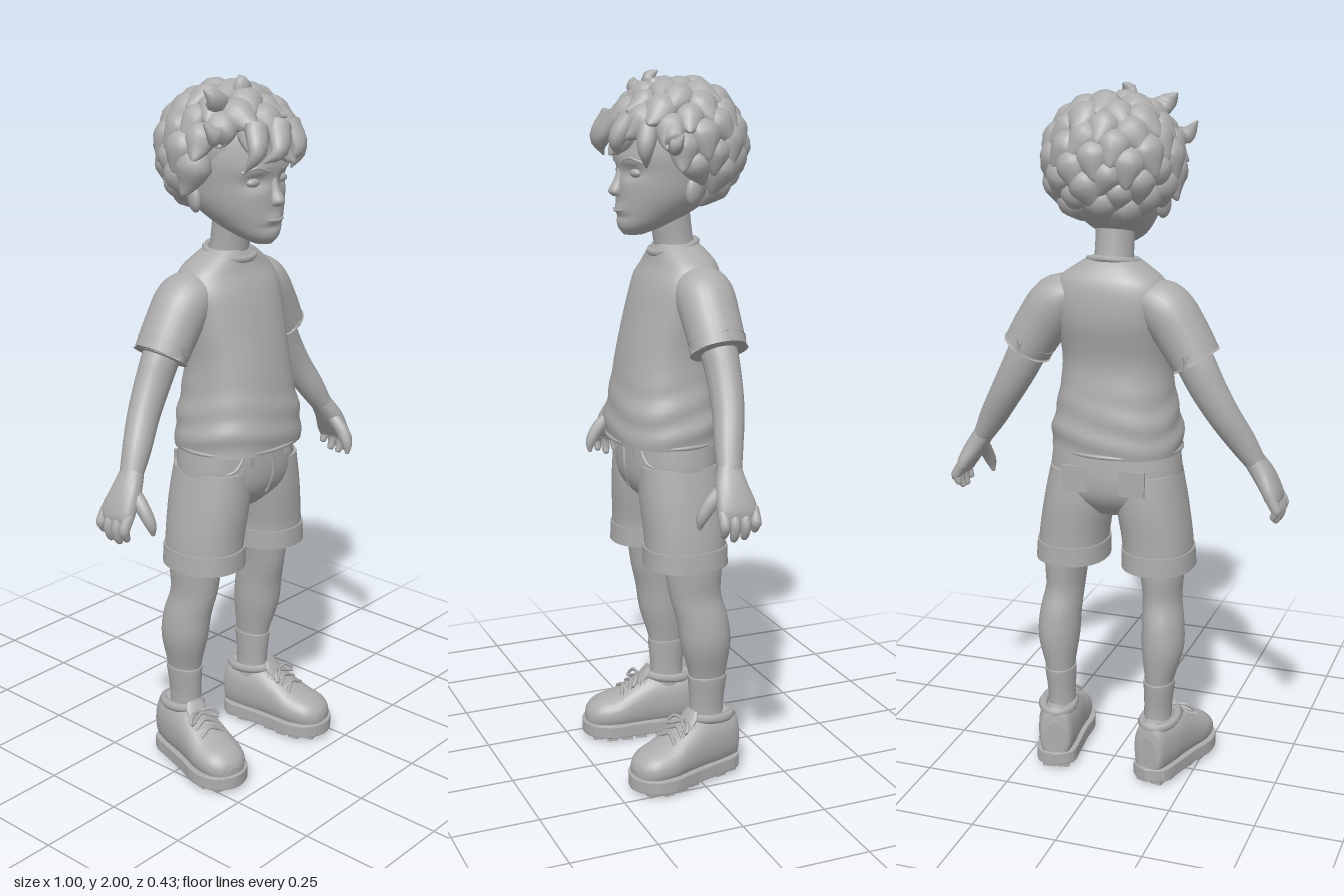
import * as THREE from 'three';

const clay = new THREE.MeshStandardMaterial({ color: 0xadadad });
clay.name = 'clay grey';
const V = (x, y, z) => new THREE.Vector3(x, y, z);
const Y = V(0, 1, 0), Z = V(0, 0, 1);

// Loft through sections [x, y, z, ru, rv]. A fixed axis gives parallel rings; otherwise rings follow the path.
function loft(secs, { axis = null, side = V(1, 0, 0), n = 24, k = 4, p = 2, rule = null } = {}) {
  const path = new THREE.CatmullRomCurve3(secs.map(s => V(s[0], s[1], s[2])), false, 'catmullrom');
  const size = new THREE.CatmullRomCurve3(secs.map(s => V(s[3], s[4], 0)), false, 'catmullrom');
  const rows = (secs.length - 1) * k, pos = [], idx = [];
  const pw = v => Math.sign(v) * Math.pow(Math.abs(v), 2 / p);
  for (let i = 0; i <= rows; i++) {
    const t = i / rows, c = path.getPoint(t), r = size.getPoint(t);
    const T = axis || path.getTangent(t);
    const U = side.clone().addScaledVector(T, -side.dot(T)).normalize();
    const W = U.clone().cross(T);
    for (let j = 0; j < n; j++) {
      const a = j / n * Math.PI * 2;
      const v = c.clone().addScaledVector(U, pw(Math.cos(a)) * r.x).addScaledVector(W, pw(Math.sin(a)) * r.y);
      if (rule) rule(v, a);
      pos.push(v.x, v.y, v.z);
    }
  }
  for (let i = 0; i < rows; i++) for (let j = 0; j < n; j++) {
    const a = i * n + j, b = i * n + (j + 1) % n;
    idx.push(a, a + n, b, b, a + n, b + n);
  }
  // end caps with their own vertices
  for (const end of [0, rows]) {
    const base = pos.length / 3, c = path.getPoint(end / rows);
    pos.push(...pos.slice(end * n * 3, (end + 1) * n * 3), c.x, c.y, c.z);
    for (let j = 0; j < n; j++) {
      const a = base + j, b = base + (j + 1) % n;
      end ? idx.push(base + n, b, a) : idx.push(base + n, a, b);
    }
  }
  const g = new THREE.BufferGeometry();
  g.setAttribute('position', new THREE.Float32BufferAttribute(pos, 3));
  g.setIndex(idx);
  g.computeVertexNormals();
  return g;
}

function add(parent, name, geo) {
  const m = new THREE.Mesh(geo, clay);
  m.name = name;
  parent.add(m);
  return m;
}
function ball(parent, name, x, y, z, a, b, c) {
  const m = add(parent, name, new THREE.SphereGeometry(1, 16, 12));
  m.position.set(x, y, z);
  m.scale.set(a, b, c);
  return m;
}
const cord = (pts, r, closed = false) => new THREE.TubeGeometry(
  new THREE.CatmullRomCurve3(pts.map(q => V(...q)), closed), closed ? 40 : 14, r, 6, closed);
// horizontal ring lying on an ellipse, tilted by a drop at the front
const ring = (y, z, rx, rz, r, drop = 0) => cord(Array.from({ length: 16 }, (_, i) => {
  const a = i / 16 * Math.PI * 2;
  return [Math.cos(a) * rx, y - drop * Math.sin(a), z + Math.sin(a) * rz];
}), r, true);

// Hair lock: a drop with its tip flicked outwards
function lockGeometry(curl) {
  const g = new THREE.SphereGeometry(1, 14, 10), a = g.attributes.position;
  for (let i = 0; i < a.count; i++) {
    let x = a.getX(i), y = a.getY(i), z = a.getZ(i);
    if (y < 0) { const f = 1 + 0.45 * y; x *= f; z = z * f + curl * y * y; y *= 1.3; }
    a.setXYZ(i, x, y, z);
  }
  g.computeVertexNormals();
  return g;
}

function buildHair(group) {
  let seed = 7;
  const rnd = () => (seed = (seed * 16807) % 2147483647) / 2147483647;
  const c = V(0, 1.80, -0.01), r = V(0.163, 0.152, 0.163);
  ball(group, 'hairCap', 0, 1.82, -0.02, 0.16, 0.135, 0.155);
  const soft = lockGeometry(0.3), flick = lockGeometry(0.75);
  const place = (d, s, front, roll) => {
    const m = add(group, 'hairLock', front ? flick : soft);
    m.position.copy(d).multiply(r).add(c);
    const out = d.clone().divide(r).normalize();
    const up = (Math.abs(out.y) > 0.97 ? V(0, 0, -1) : Y.clone()).addScaledVector(out, 0);
    up.addScaledVector(out, -up.dot(out)).normalize().applyAxisAngle(out, roll);
    m.quaternion.setFromRotationMatrix(new THREE.Matrix4().makeBasis(up.clone().cross(out), up, out));
    m.scale.set(s, s * 1.05, s * 0.85);
  };
  const N = 86;
  for (let i = 0; i < N; i++) {
    const y = 1 - (i + 0.5) * 2 / N, q = Math.sqrt(1 - y * y), a = i * 2.39996;
    const d = V(Math.cos(a) * q, y, Math.sin(a) * q);
    const low = d.z > 0.2 ? (Math.abs(d.x) > 0.72 ? 0 : 0.22) : d.z > -0.15 ? -0.3 : -0.8;
    if (d.y < low) continue;
    place(d, 0.041 + rnd() * 0.011, d.z > 0.1 && d.y < 0.75, (rnd() - 0.5) * 1.1);
  }
  // pointed curls on the fringe and crown
  const curls = [
    [[-0.07, 1.88, 0.15], [-0.10, 1.82, 0.18], [-0.12, 1.77, 0.155]],
    [[0.01, 1.88, 0.16], [-0.03, 1.82, 0.195], [-0.065, 1.79, 0.175]],
    [[0.06, 1.88, 0.15], [0.06, 1.82, 0.185], [0.03, 1.78, 0.17]],
    [[0.10, 1.86, 0.11], [0.13, 1.80, 0.13], [0.11, 1.75, 0.12]],
    [[-0.13, 1.86, 0.08], [-0.17, 1.86, 0.10], [-0.205, 1.90, 0.09]],
    [[0.15, 1.84, 0.06], [0.19, 1.81, 0.07], [0.22, 1.84, 0.06]],
    [[0.0, 1.93, 0.03], [-0.02, 1.975, 0.06], [-0.01, 1.998, 0.04]],
    [[-0.09, 1.92, 0.04], [-0.13, 1.95, 0.06], [-0.16, 1.975, 0.05]]];
  for (const [a, b, e] of curls)
    add(group, 'hairCurl', loft([[...a, 0.035, 0.03], [...b, 0.026, 0.022], [...e, 0.003, 0.003]], { n: 10 }));
}

function buildHead(group) {
  const bump = (v, x, y, w, h) => Math.exp(-(((Math.abs(v.x) - x) / w) ** 2) - ((v.y - y) / h) ** 2);
  // skull with eye sockets, cheeks and lips pressed in
  add(group, 'head', loft([
    [0, 1.563, 0.115, 0.025, 0.028], [0, 1.585, 0.092, 0.058, 0.066], [0, 1.62, 0.056, 0.09, 0.104],
    [0, 1.67, 0.02, 0.12, 0.14], [0, 1.73, 0, 0.135, 0.16], [0, 1.80, -0.01, 0.143, 0.17],
    [0, 1.88, -0.01, 0.125, 0.148], [0, 1.94, -0.01, 0.06, 0.075]], {
    axis: Y, n: 48, k: 6, rule: v => {
      if (v.z < 0.05) return;
      v.z += -0.016 * bump(v, 0.055, 1.733, 0.03, 0.018) + 0.006 * bump(v, 0.055, 1.768, 0.04, 0.012)
        + 0.007 * bump(v, 0, 1.632, 0.03, 0.012) - 0.005 * bump(v, 0, 1.612, 0.04, 0.007);
    } }));
  add(group, 'nose', loft([[0, 1.75, 0.145, 0.012, 0.012], [0, 1.71, 0.157, 0.014, 0.015],
    [0, 1.682, 0.166, 0.02, 0.021], [0, 1.668, 0.16, 0.017, 0.014]], { axis: Y.clone().negate(), n: 14 }));
  add(group, 'mouth', cord([[-0.032, 1.631, 0.158], [0, 1.629, 0.167], [0.032, 1.631, 0.158]], 0.004));
  for (const s of [-1, 1]) {
    ball(group, 'eye', s * 0.055, 1.732, 0.129, 0.024, 0.013, 0.014);
    add(group, 'eyebrow', cord([[s * 0.025, 1.762, 0.158], [s * 0.06, 1.772, 0.147], [s * 0.092, 1.76, 0.121]], 0.005));
    ball(group, 'ear', s * 0.14, 1.69, -0.005, 0.017, 0.042, 0.028).rotation.set(-0.2, s * 0.4, 0);
  }
  add(group, 'neck', loft([[0, 1.46, -0.02, 0.07, 0.065], [0, 1.53, -0.005, 0.055, 0.056],
    [0, 1.65, 0.015, 0.055, 0.06]], { axis: Y }));
  buildHair(group);
}

function buildShirt(group) {
  const folds = (v, a) => {
    const f = 0.004 * Math.sin(v.y * 75 + 2 * Math.sin(a * 2)) * Math.max(0, 1 - Math.abs(v.y - 1.06) / 0.14);
    v.x += f * Math.cos(a);
    v.z += f * Math.sin(a);
  };
  add(group, 'shirtBody', loft([
    [0, 0.985, 0.03, 0.188, 0.155], [0, 1.05, 0.03, 0.186, 0.155], [0, 1.15, 0.028, 0.165, 0.14],
    [0, 1.25, 0.025, 0.155, 0.124], [0, 1.36, 0, 0.165, 0.12], [0, 1.43, -0.012, 0.17, 0.108],
    [0, 1.48, -0.02, 0.148, 0.09], [0, 1.513, -0.015, 0.105, 0.074], [0, 1.535, -0.01, 0.07, 0.058]],
    { axis: Y, n: 48, k: 6, p: 2.3, rule: folds }));
  add(group, 'shirtCollar', ring(1.525, -0.002, 0.07, 0.064, 0.01, 0.015));
  add(group, 'shirtHem', ring(0.992, 0.03, 0.187, 0.154, 0.006));
  for (const s of [-1, 1]) {
    add(group, 'sleeve', loft([[s * 0.10, 1.44, -0.025, 0.07, 0.05], [s * 0.155, 1.408, -0.028, 0.082, 0.075],
      [s * 0.205, 1.34, -0.03, 0.08, 0.075], [s * 0.247, 1.272, -0.032, 0.078, 0.07]], { side: Z }));
    add(group, 'sleeveCuff', loft([[s * 0.232, 1.296, -0.032, 0.081, 0.073],
      [s * 0.249, 1.268, -0.032, 0.081, 0.073]], { side: Z, k: 1 }));
  }
}

function buildShorts(group) {
  add(group, 'shortsHips', loft([[0, 0.80, 0.015, 0.08, 0.07], [0, 0.85, 0.018, 0.17, 0.115],
    [0, 0.91, 0.02, 0.192, 0.13], [0, 1.01, 0.022, 0.182, 0.124]], { axis: Y, n: 36, p: 2.3 }));
  add(group, 'fly', cord([[0, 0.98, 0.147], [0.012, 0.91, 0.15], [0, 0.85, 0.134]], 0.005));
  for (const s of [-1, 1]) {
    add(group, 'shortsLeg', loft([[s * 0.13, 0.645, 0.015, 0.1, 0.116], [s * 0.127, 0.72, 0.015, 0.1, 0.116],
      [s * 0.11, 0.83, 0.017, 0.1, 0.122], [s * 0.1, 0.93, 0.02, 0.09, 0.118]], { axis: Y, n: 28, p: 2.2 }));
    add(group, 'shortsCuff', loft([[s * 0.131, 0.642, 0.015, 0.106, 0.121],
      [s * 0.129, 0.698, 0.015, 0.104, 0.12]], { axis: Y, n: 28, k: 1, p: 2.2 }));
    add(group, 'pocketSeam', cord([[s * 0.09, 0.985, 0.134], [s * 0.125, 0.94, 0.125], [s * 0.18, 0.925, 0.07]], 0.005));
    add(group, 'backPocket', new THREE.BoxGeometry(0.075, 0.075, 0.009)).position.set(s * 0.085, 0.915, -0.102);
    add(group, 'beltLoop', new THREE.BoxGeometry(0.016, 0.05, 0.012)).position.set(s * 0.075, 0.972, 0.142);
  }
}

function buildArm(group, s) {
  add(group, 'arm', loft([[s * 0.15, 1.41, -0.03, 0.05, 0.05], [s * 0.235, 1.28, -0.034, 0.05, 0.055],
    [s * 0.278, 1.2, -0.034, 0.047, 0.052], [s * 0.325, 1.12, -0.025, 0.043, 0.046],
    [s * 0.372, 1.045, -0.005, 0.039, 0.04], [s * 0.412, 0.98, 0.01, 0.033, 0.029]], { side: Z, n: 18 }));
  add(group, 'palm', loft([[s * 0.405, 0.99, 0.009, 0.033, 0.028], [s * 0.436, 0.945, 0.015, 0.046, 0.029],
    [s * 0.464, 0.895, 0.012, 0.056, 0.024], [s * 0.472, 0.872, 0.012, 0.05, 0.018]], { side: Z, n: 18, p: 2.4 }));
  // four fingers and a thumb
  [[-0.034, 0.832], [-0.004, 0.815], [0.026, 0.812], [0.054, 0.825]].forEach(([z, tip]) => {
    add(group, 'finger', loft([[s * 0.464, 0.895, z, 0.015, 0.015], [s * 0.483, 0.862, z, 0.015, 0.015],
      [s * 0.482, tip + 0.022, z, 0.013, 0.013], [s * 0.474, tip + 0.004, z, 0.009, 0.009],
      [s * 0.472, tip, z, 0.003, 0.003]], { side: Z, n: 10 }));
  });
  add(group, 'thumb', loft([[s * 0.428, 0.95, 0.03, 0.02, 0.02], [s * 0.43, 0.91, 0.07, 0.02, 0.02],
    [s * 0.427, 0.87, 0.095, 0.016, 0.016], [s * 0.422, 0.838, 0.1, 0.005, 0.005]], { side: Z, n: 10 }));
}

function buildLeg(group, s) {
  add(group, 'leg', loft([[s * 0.15, 0.15, -0.045, 0.038, 0.048], [s * 0.151, 0.22, -0.044, 0.037, 0.048],
    [s * 0.154, 0.30, -0.045, 0.041, 0.054], [s * 0.161, 0.40, -0.036, 0.06, 0.073],
    [s * 0.158, 0.48, -0.026, 0.06, 0.076], [s * 0.15, 0.55, -0.008, 0.056, 0.076],
    [s * 0.147, 0.62, -0.004, 0.062, 0.083], [s * 0.14, 0.70, 0, 0.07, 0.09]], { axis: Y, n: 20 }));
  add(group, 'sock', loft([[s * 0.15, 0.16, -0.045, 0.042, 0.051], [s * 0.151, 0.22, -0.044, 0.04, 0.051],
    [s * 0.154, 0.295, -0.045, 0.045, 0.058], [s * 0.154, 0.304, -0.045, 0.044, 0.057]], { axis: Y, n: 20 }));
}

function buildShoe(group, s) {
  const shoe = new THREE.Group();
  shoe.name = 'shoe';
  shoe.position.set(s * 0.17, 0, 0);
  shoe.rotation.y = s * 0.2;
  group.add(shoe);
  // upper from heel to toe, rings facing along the foot
  add(shoe, 'shoeUpper', loft([[0, 0.09, -0.132, 0.03, 0.06], [0, 0.108, -0.12, 0.048, 0.082],
    [0, 0.108, -0.06, 0.06, 0.085], [0, 0.107, 0.0, 0.065, 0.084], [0, 0.095, 0.055, 0.07, 0.073],
    [0, 0.08, 0.11, 0.075, 0.055], [0, 0.072, 0.165, 0.066, 0.045], [0, 0.065, 0.195, 0.042, 0.03],
    [0, 0.06, 0.205, 0.015, 0.014]], { axis: Z, n: 28, p: 2.3 }));
  add(shoe, 'shoeOpening', ring(0.183, -0.052, 0.046, 0.066, 0.014, -0.006));
  add(shoe, 'shoeTongue', loft([[0, 0.16, 0.04, 0.035, 0.012], [0, 0.19, 0.017, 0.034, 0.012],
    [0, 0.208, 0.008, 0.024, 0.008]], { n: 14 }));
  // thick sole with tread blocks
  const outline = new THREE.Shape(new THREE.SplineCurve([[0, 0.142], [0.05, 0.115], [0.062, 0.04], [0.07, -0.04],
    [0.082, -0.12], [0.06, -0.185], [0, -0.212], [-0.06, -0.185], [-0.082, -0.12], [-0.07, -0.04],
    [-0.062, 0.04], [-0.05, 0.115], [0, 0.142]].map(q => new THREE.Vector2(...q))).getPoints(48));
  const sole = new THREE.ExtrudeGeometry(outline, { depth: 0.032, bevelSize: 0.003, bevelThickness: 0.004, bevelSegments: 2 });
  sole.rotateX(-Math.PI / 2);
  add(shoe, 'sole', sole).position.y = 0.018;
  [[-0.105, 0.036], [-0.06, 0.045], [0.04, 0.054], [0.085, 0.062], [0.13, 0.062], [0.17, 0.045]].forEach(([z, w]) => {
    for (const e of [-1, 1])
      add(shoe, 'tread', new THREE.BoxGeometry(w * 0.95, 0.02, 0.032)).position.set(e * w * 0.62, 0.01, z);
  });
  // crossed laces and bow
  [[0.035, 0.181], [0.062, 0.167], [0.088, 0.152]].forEach(([z, y]) => {
    for (const e of [-1, 1])
      add(shoe, 'lace', cord([[-0.042, y - 0.017, z - e * 0.01], [0, y + 0.002, z], [0.042, y - 0.017, z + e * 0.01]], 0.006));
  });
  for (const e of [-1, 1])
    add(shoe, 'laceBow', cord([[0, 0.186, 0.04], [e * 0.035, 0.188, 0.05], [e * 0.05, 0.165, 0.065], [0, 0.183, 0.045]], 0.005));
}

export function createModel() {
  const model = new THREE.Group();
  model.name = 'boy';
  const part = (name, build, s) => {
    const g = new THREE.Group();
    g.name = name;
    model.add(g);
    build(g, s);
  };
  part('headAndHair', buildHead);
  part('shirt', buildShirt);
  part('shorts', buildShorts);
  for (const s of [-1, 1]) {
    const side = s > 0 ? 'left' : 'right';
    part(side + 'Arm', buildArm, s);
    part(side + 'Leg', buildLeg, s);
    part(side + 'Foot', buildShoe, s);
  }
  return model;
}
